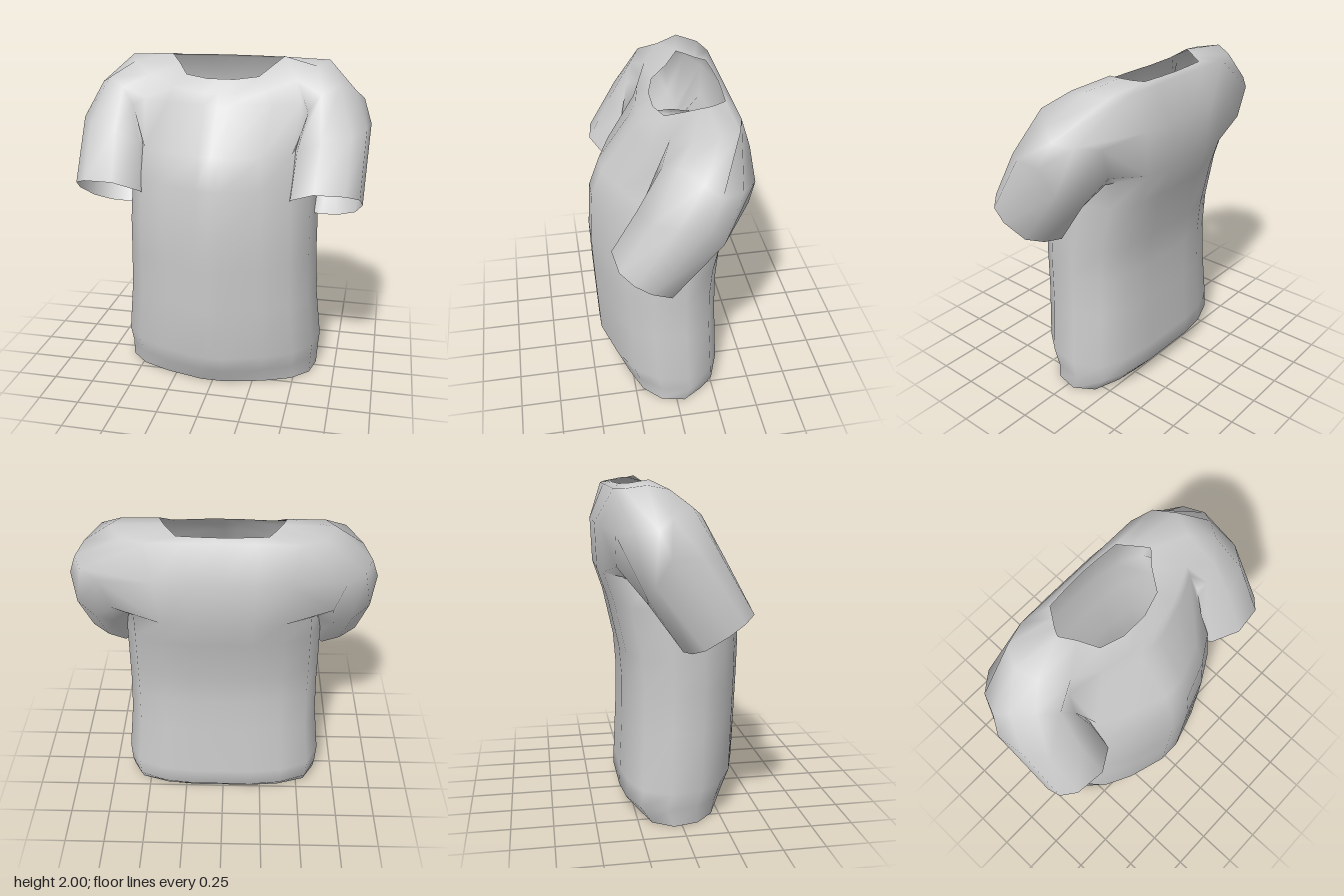
import * as THREE from 'three';
import { mergeGeometries, mergeVertices } from 'three/addons/utils/BufferGeometryUtils.js';

// Skin a stack of closed rings (each an array of [x, y, z]), leaving out the quads where isHole(i, j)
function loft(rings, isHole = () => false) {
  const n = rings[0].length, index = [];
  for (let i = 0; i < rings.length - 1; i++) {
    for (let j = 0; j < n; j++) {
      if (isHole(i, j)) continue;
      const k = (j + 1) % n;
      const a = i * n + j, b = i * n + k, c = a + n, d = b + n;
      index.push(a, b, d, a, d, c);
    }
  }
  const geometry = new THREE.BufferGeometry();
  geometry.setAttribute('position', new THREE.Float32BufferAttribute(rings.flat(2), 3));
  geometry.setIndex(index);
  return geometry;
}

const flip = ([x, y, z]) => [-x, y, z];

// Half ring from front centre to back centre, completed by mirroring
const fullRing = half => [...half, ...half.slice(1, -1).reverse().map(flip)];

// Body section: width fraction, depth fraction (1 front, -1 back)
const section = [[0, 1], [0.12, 1], [0.5, 0.8], [0.78, 0.55], [0.95, 0.18],
  [1, -0.33], [0.88, -0.75], [0.6, -0.94], [0.3, -1], [0, -1]];

// Body levels: height, half width, front z, back z
const levels = [
  [0, 0.625, 0.33, -0.24], [0.1, 0.63, 0.38, -0.325], [0.21, 0.64, 0.425, -0.32],
  [0.55, 0.605, 0.44, -0.305], [0.8, 0.597, 0.45, -0.3], [1, 0.595, 0.455, -0.315],
  [1.3, 0.585, 0.435, -0.38], [1.48, 0.575, 0.37, -0.44], [1.75, 0.62, 0.18, -0.45],
];

// Shoulder line and neck opening, front centre to back centre
const shoulder = [[0, 1.81, 0.135], [0.1, 1.81, 0.135], [0.28, 1.83, 0.1], [0.45, 1.89, 0.03],
  [0.57, 1.955, -0.07], [0.62, 1.98, -0.2], [0.55, 1.96, -0.32], [0.42, 1.955, -0.36],
  [0.2, 1.955, -0.36], [0, 1.955, -0.36]];
const neck = [[0, 1.885, 0.06], [0.08, 1.885, 0.06], [0.22, 1.9, 0.02], [0.285, 1.95, -0.08],
  [0.35, 2, -0.15], [0.325, 1.99, -0.2], [0.29, 1.98, -0.25], [0.25, 1.975, -0.31],
  [0.12, 1.975, -0.32], [0, 1.975, -0.325]];

// Sleeve rings from cuff to shoulder, each running front, outside, back, inside
const sleeveRings = [
  [[0.46, 1.23, 0.29], [0.6, 1.3, 0.38], [0.78, 1.295, 0.36], [0.86, 1.26, 0.29],
    [0.875, 1.2, 0.2], [0.83, 1.115, 0.08], [0.73, 1.075, 0.03], [0.62, 1.06, 0],
    [0.54, 1.085, 0.04], [0.48, 1.12, 0.1], [0.45, 1.16, 0.17], [0.445, 1.2, 0.24]],
  [[0.48, 1.5, 0.19], [0.62, 1.575, 0.235], [0.79, 1.6, 0.18], [0.87, 1.62, 0.06],
    [0.89, 1.62, -0.11], [0.85, 1.47, -0.19], [0.75, 1.39, -0.22], [0.65, 1.34, -0.2],
    [0.56, 1.34, -0.15], [0.5, 1.36, -0.08], [0.46, 1.39, 0], [0.44, 1.43, 0.1]],
  [[0.53, 1.72, 0.13], [0.6, 1.82, 0.1], [0.7, 1.87, 0.03], [0.79, 1.82, -0.09],
    [0.84, 1.76, -0.17], [0.79, 1.75, -0.29], [0.68, 1.73, -0.38], [0.62, 1.55, -0.37],
    [0.55, 1.46, -0.28], [0.52, 1.47, -0.15], [0.5, 1.52, 0], [0.5, 1.62, 0.09]],
];

export function createModel() {
  // Body, open at the hem, the neck and both armholes
  const rings = levels.map(([y, w, front, back]) => fullRing(section.map(([u, v]) =>
    [u * w, y, (front + back) / 2 + v * (front - back) / 2])));
  rings.push(fullRing(shoulder), fullRing(neck));
  const isArmhole = (i, j) => (i === 7 || i === 8) && ((j >= 3 && j <= 6) || (j >= 11 && j <= 14));
  const body = loft(rings, isArmhole);

  // Sleeves, sewn to the armhole edge; the mirrored rings are reversed to keep facing out
  const [low, middle, high] = rings.slice(7, 10);
  const armhole = [middle[3], ...high.slice(3, 8), middle[7], ...low.slice(3, 8).reverse()];
  const left = [...sleeveRings, armhole];
  const right = left.map(ring => ring.map(flip).reverse());

  // Weld the seams so the shading runs smoothly across them
  const geometry = mergeVertices(mergeGeometries([body, loft(left), loft(right)]), 0.001);
  geometry.computeVertexNormals();
  const material = new THREE.MeshStandardMaterial({ color: 0xcccccc, side: THREE.DoubleSide });
  const shirt = new THREE.Mesh(geometry, material);
  shirt.name = 'shirtBodyAndSleeves';

  const group = new THREE.Group();
  group.name = 'shortSleevedShirt';
  group.add(shirt);
  return group;
}
